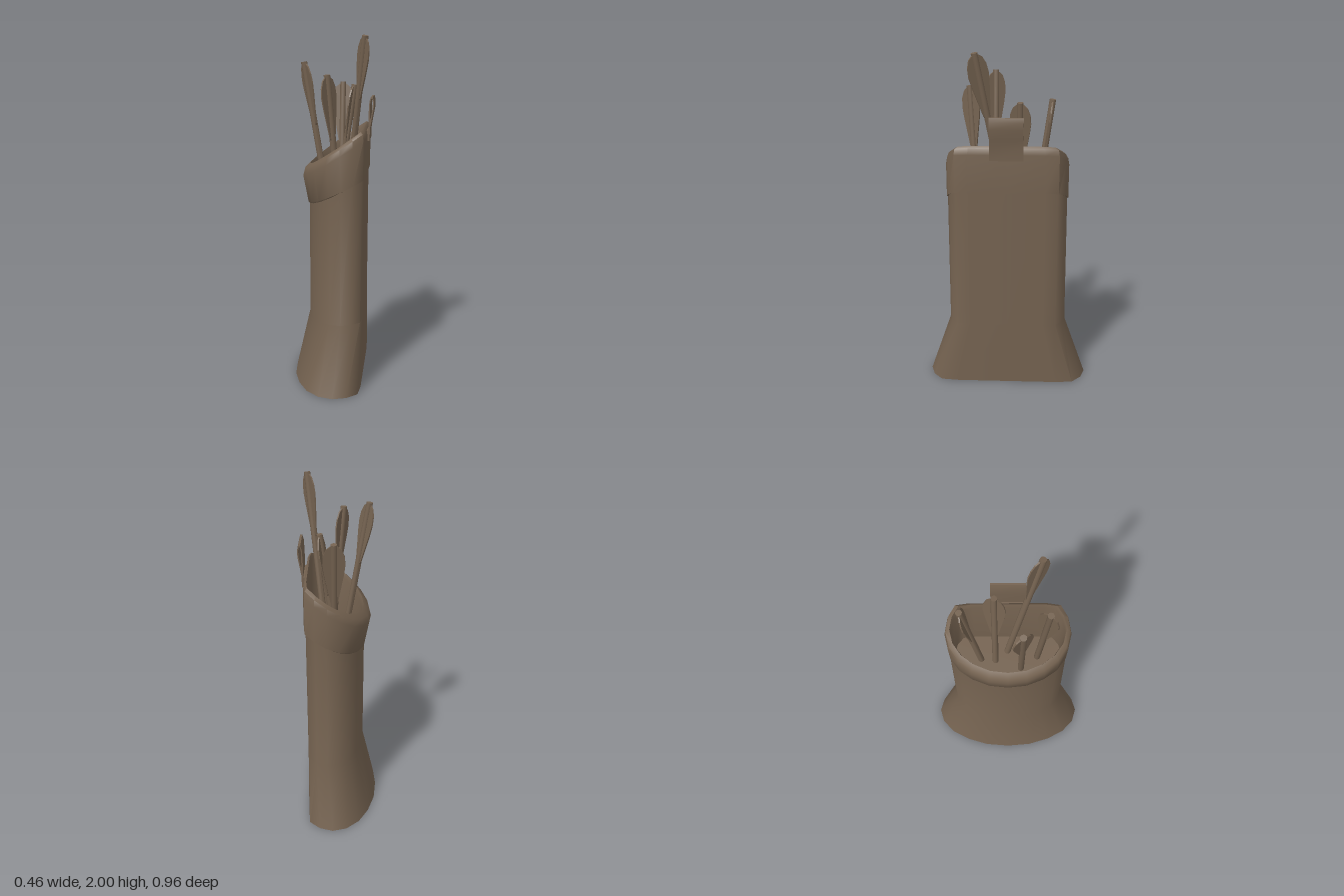
import * as THREE from 'three';
import { toCreasedNormals } from 'three/addons/utils/BufferGeometryUtils.js';

const leather = new THREE.MeshStandardMaterial({ color: 0x746250 });
leather.name = 'brown leather';

// Half of the D-shaped outline: u runs from the round side (0) to the flat side (1), v is the depth
const half = [[0, 0], [0.03, 0.31], [0.125, 0.586], [0.26, 0.805], [0.44, 0.95], [0.64, 1],
  [0.83, 0.95], [0.975, 0.837], [1, 0.62], [1, 0]];
const outline = [...half, ...half.slice(1, -1).reverse().map(([u, v]) => [u, -v])];

// Skin a list of sections [xRound, xFlat, halfDepth, yRound, yFlat]; optionally cap either end
function loft(sections, capStart, capEnd) {
  const n = outline.length, pos = [], index = [];
  for (const [x0, x1, d, y0, y1] of sections)
    for (const [u, v] of outline) pos.push(x0 + (x1 - x0) * u, y0 + (y1 - y0) * u, v * d);
  for (let r = 0; r < sections.length - 1; r++)
    for (let i = 0; i < n; i++) {
      const j = (i + 1) % n, a = r * n, b = a + n;
      index.push(a + i, a + j, b + j, a + i, b + j, b + i);
    }
  const cap = (r, up) => {
    const [x0, x1, , y0, y1] = sections[r], c = pos.length / 3;
    pos.push((x0 + x1) / 2, (y0 + y1) / 2, 0);
    for (let i = 0; i < n; i++) {
      const a = r * n + i, b = r * n + (i + 1) % n;
      index.push(...(up ? [a, b, c] : [b, a, c]));
    }
  };
  if (capStart) cap(0, false);
  if (capEnd) cap(sections.length - 1, true);
  const g = new THREE.BufferGeometry();
  g.setAttribute('position', new THREE.Float32BufferAttribute(pos, 3));
  g.setIndex(index);
  return toCreasedNormals(g, 0.8);
}

function add(parent, name, geometry) {
  const mesh = new THREE.Mesh(geometry, leather);
  mesh.name = name;
  parent.add(mesh);
  return mesh;
}

// Feather outline: [distance below the nock, half width]
const feather = [[0.012, 0.02], [0.03, 0.042], [0.07, 0.058], [0.12, 0.062], [0.18, 0.054],
  [0.27, 0.037], [0.35, 0.022], [0.38, 0.008]];

function vaneGeometry() {
  const pts = [...feather.map(([d, w]) => [w, -d]), ...feather.map(([d, w]) => [-w, -d]).reverse()];
  const shape = new THREE.Shape(pts.map(([x, y]) => new THREE.Vector2(x, y)));
  return new THREE.ExtrudeGeometry(shape, { depth: 0.008, bevelEnabled: false }).translate(0, 0, -0.004);
}

// An arrow whose local y runs along the shaft, with its nock at the origin
function makeArrow(top, bottom, across) {
  const arrow = new THREE.Group();
  arrow.name = 'arrow';
  const tip = new THREE.Vector3(...top), dir = tip.clone().sub(new THREE.Vector3(...bottom));
  const length = dir.length();
  dir.normalize();
  const wide = new THREE.Vector3(across[0], 0, across[1]);
  wide.addScaledVector(dir, -wide.dot(dir)).normalize();
  const normal = new THREE.Vector3().crossVectors(wide, dir);
  arrow.applyMatrix4(new THREE.Matrix4().makeBasis(wide, dir, normal).setPosition(tip));
  add(arrow, 'shaft', toCreasedNormals(
    new THREE.CylinderGeometry(0.018, 0.018, length, 10).translate(0, -length / 2, 0), 0.8));
  add(arrow, 'feathers', vaneGeometry());
  return arrow;
}

export function createModel() {
  const model = new THREE.Group();
  model.name = 'quiver';

  // Flared base and straight tube
  add(model, 'body', loft([
    [-0.232, 0.18, 0.478, 0, 0],
    [-0.145, 0.182, 0.347, 0.38, 0.39],
    [-0.145, 0.185, 0.345, 1.06, 1.23],
  ], true, false));

  // Slanted collar, rolled over the rim and down to the inner floor
  add(model, 'collar', loft([
    [-0.144, 0.184, 0.344, 1.04, 1.22],
    [-0.153, 0.194, 0.351, 1.05, 1.22],
    [-0.183, 0.195, 0.352, 1.2, 1.44],
    [-0.173, 0.19, 0.345, 1.24, 1.475],
    [-0.14, 0.177, 0.322, 1.27, 1.487],
    [-0.13, 0.17, 0.315, 1.24, 1.46],
    [-0.122, 0.167, 0.312, 1.05, 1.05],
  ], false, true));

  // Hanging loop on the flat side
  const loopPath = [[0.2, 1.41], [0.207, 1.41], [0.209, 1.48], [0.218, 1.53], [0.229, 1.59], [0.23, 1.63],
    [0.223, 1.655], [0.212, 1.655], [0.204, 1.63], [0.2, 1.56]];
  const slot = [[0.208, 1.53], [0.209, 1.62], [0.214, 1.647], [0.221, 1.645], [0.224, 1.625], [0.222, 1.59], [0.213, 1.54]];
  const vectors = (list) => list.map(([x, y]) => new THREE.Vector2(x, y));
  const loop = new THREE.Shape(vectors(loopPath));
  loop.holes.push(new THREE.Path(vectors(slot)));
  add(model, 'strapLoop', toCreasedNormals(
    new THREE.ExtrudeGeometry(loop, { depth: 0.19, bevelEnabled: false }).translate(0, 0, -0.095), 0.8));
  const tab = add(model, 'strapTab', new THREE.BoxGeometry(0.015, 0.06, 0.19));
  tab.position.set(0.196, 1.44, 0);

  // Arrows: nock, foot, and the direction the feathers spread
  const arrows = [
    [[0.183, 1.995, 0.172], [0.075, 1.04, -0.005], [0.54, 0.84]],
    [[-0.167, 1.85, 0.075], [-0.03, 1.04, 0.075], [0.55, 0.83]],
    [[0.025, 1.72, -0.252], [0.025, 1.04, -0.155], [1, 0]],
    [[0.107, 1.715, -0.073], [0.015, 1.04, -0.073], [-0.25, 0.97]],
    [[-0.022, 1.785, 0.216], [0.04, 1.04, 0.17], [0.55, -0.83]],
  ];
  for (const a of arrows) model.add(makeArrow(...a));
  return model;
}
